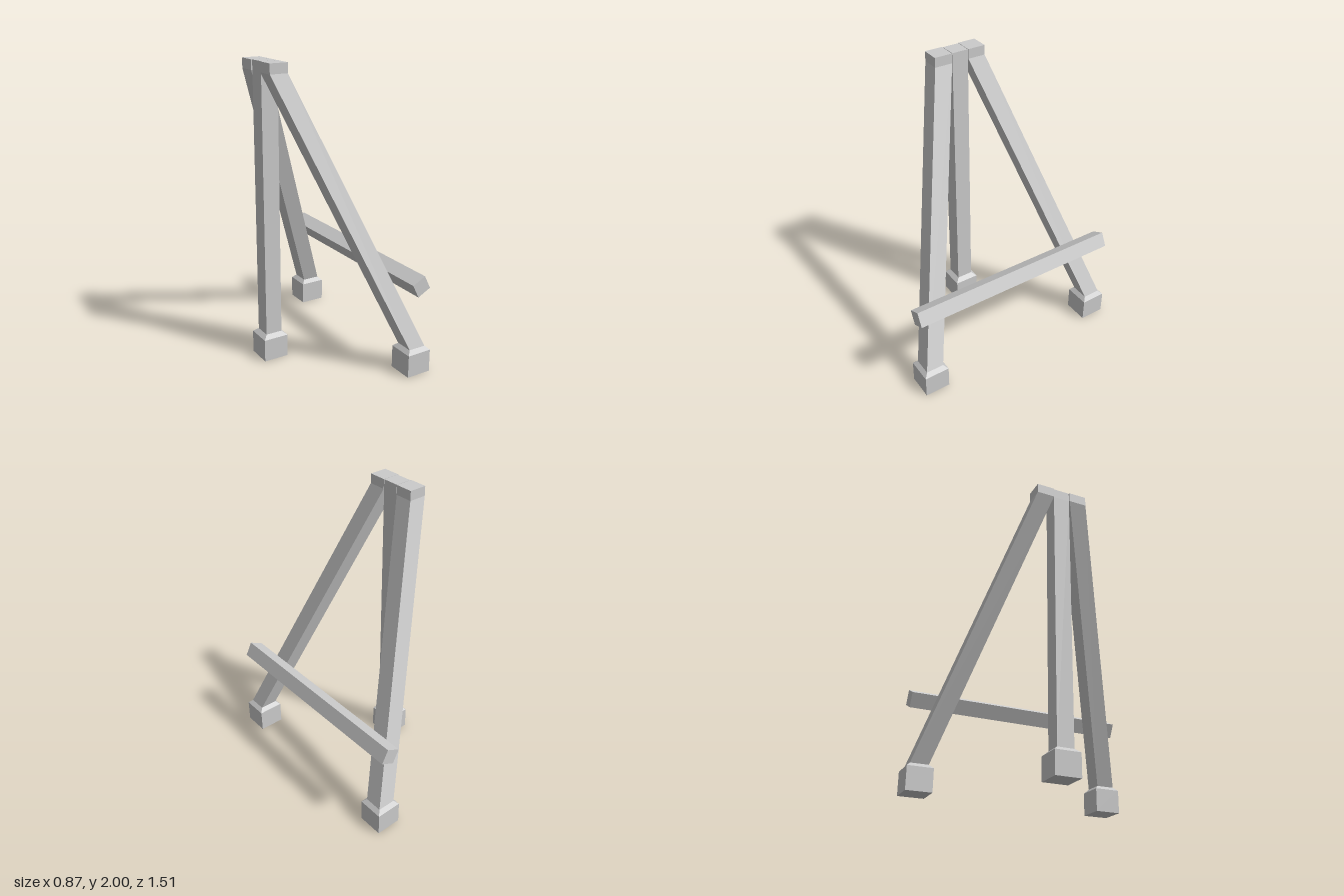
import * as THREE from 'three';

const material = new THREE.MeshStandardMaterial({ color: 0xcccccc, flatShading: true });

// Skins a stack of horizontal rectangles [y, x0, x1, z0, z1], bottom to top, with closed ends.
function loftRects(sections) {
  const positions = [];
  const index = [];
  for (const [y, x0, x1, z0, z1] of sections) {
    positions.push(x0, y, z1, x1, y, z1, x1, y, z0, x0, y, z0);
  }
  for (let s = 0; s < sections.length - 1; s++) {
    for (let i = 0; i < 4; i++) {
      const a = s * 4 + i;
      const b = s * 4 + (i + 1) % 4;
      index.push(a, b, b + 4, a, b + 4, a + 4);
    }
  }
  const t = (sections.length - 1) * 4;
  index.push(0, 2, 1, 0, 3, 2, t, t + 1, t + 2, t, t + 2, t + 3);
  const indexed = new THREE.BufferGeometry();
  indexed.setAttribute('position', new THREE.Float32BufferAttribute(positions, 3));
  indexed.setIndex(index);
  const geometry = indexed.toNonIndexed();
  geometry.computeVertexNormals();
  return geometry;
}

// A square section of half width h around (x, z)
const square = (y, x, z, h) => [y, x - h, x + h, z - h, z + h];

// A leg with a block foot, a short chamfer and a post running to the top
function makeLeg(name, foot, top, half) {
  const leg = new THREE.Group();
  leg.name = name;
  const footMesh = new THREE.Mesh(loftRects([
    square(0, ...foot, 0.087),
    square(0.155, ...foot, 0.087),
    square(0.18, ...foot, half),
  ]), material);
  footMesh.name = 'foot';
  const post = new THREE.Mesh(loftRects([
    square(0.18, ...foot, half),
    square(1.935, ...top, half),
    square(2, ...top, half),
  ]), material);
  post.name = 'post';
  leg.add(footMesh, post);
  return leg;
}

export function createModel() {
  const model = new THREE.Group();
  model.name = 'easel';

  // Upright rear leg
  model.add(makeLeg('rearLeg', [-0.347, 0], [-0.347, 0], 0.057));

  // Two splayed legs, mirrored in z
  for (const side of [1, -1]) {
    model.add(makeLeg(side > 0 ? 'splayedLegA' : 'splayedLegB',
      [0.345, side * 0.667], [-0.35, side * 0.121], 0.061));
  }

  // Tilted ledge bar across the splayed legs
  const ledge = new THREE.Mesh(new THREE.BoxGeometry(0.102, 0.1, 1.494), material);
  ledge.name = 'ledge';
  ledge.position.set(0.343, 0.62, 0);
  ledge.rotation.z = 0.47;
  model.add(ledge);

  return model;
}
